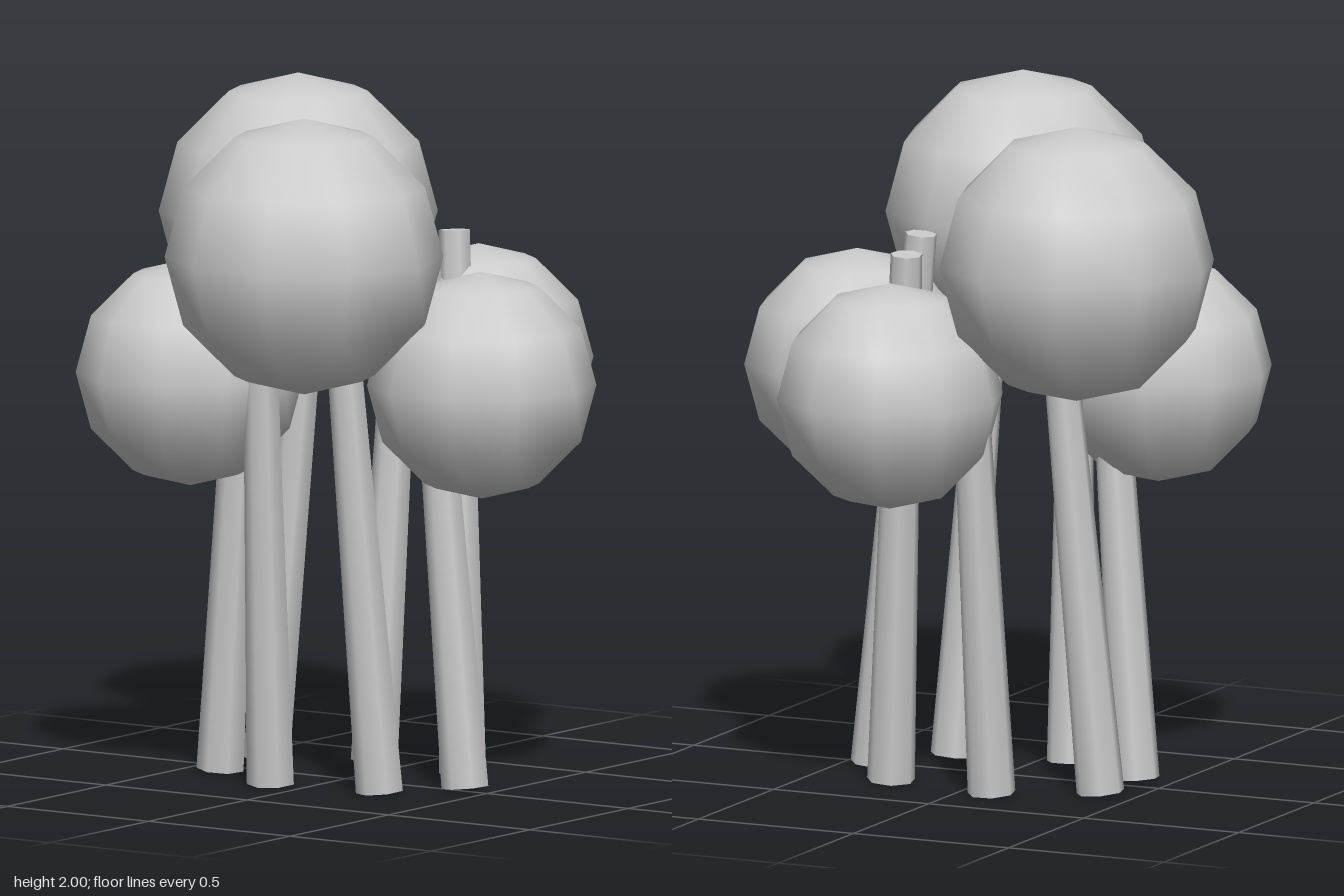
import * as THREE from 'three';

export function createModel() {
  const model = new THREE.Group();
  const material = new THREE.MeshStandardMaterial({ color: 0xcccccc });

  // Ring of seven leaning stems; foot and tip each lie on an ellipse
  const stems = new THREE.Group();
  stems.name = 'stems';
  const count = 7;
  const up = new THREE.Vector3(0, 1, 0);
  const ringPoint = (angle, rx, y, rz) =>
    new THREE.Vector3(-0.013 + rx * Math.cos(angle), y, -0.035 + rz * Math.sin(angle));
  for (let i = 0; i < count; i++) {
    const angle = (i / count) * Math.PI * 2;
    const foot = ringPoint(angle, 0.413, 0.006, 0.27);
    const tip = ringPoint(angle, 0.263, 1.582, 0.385);
    const axis = tip.clone().sub(foot);
    const stem = new THREE.Mesh(new THREE.CylinderGeometry(0.047, 0.071, axis.length(), 7), material);
    stem.name = `stem${i + 1}`;
    stem.position.copy(foot).add(tip).multiplyScalar(0.5);
    stem.quaternion.setFromUnitVectors(up, axis.normalize());
    stems.add(stem);
  }
  model.add(stems);

  // Two large upper crowns and three smaller lower ones: x, y, z, radius
  const crowns = new THREE.Group();
  crowns.name = 'crowns';
  [
    ['upperBackCrown', -0.385, 1.595, -0.31, 0.405],
    ['upperFrontCrown', 0.135, 1.595, 0.405, 0.405],
    ['lowerRightCrown', -0.385, 1.19, 0.237, 0.333],
    ['lowerLeftCrown', 0.455, 1.19, -0.037, 0.333],
    ['lowerBackCrown', 0.135, 1.19, -0.48, 0.333],
  ].forEach(([name, x, y, z, radius]) => {
    const crown = new THREE.Mesh(new THREE.SphereGeometry(radius, 10, 6), material);
    crown.name = name;
    crown.position.set(x, y, z);
    crowns.add(crown);
  });
  model.add(crowns);

  return model;
}
